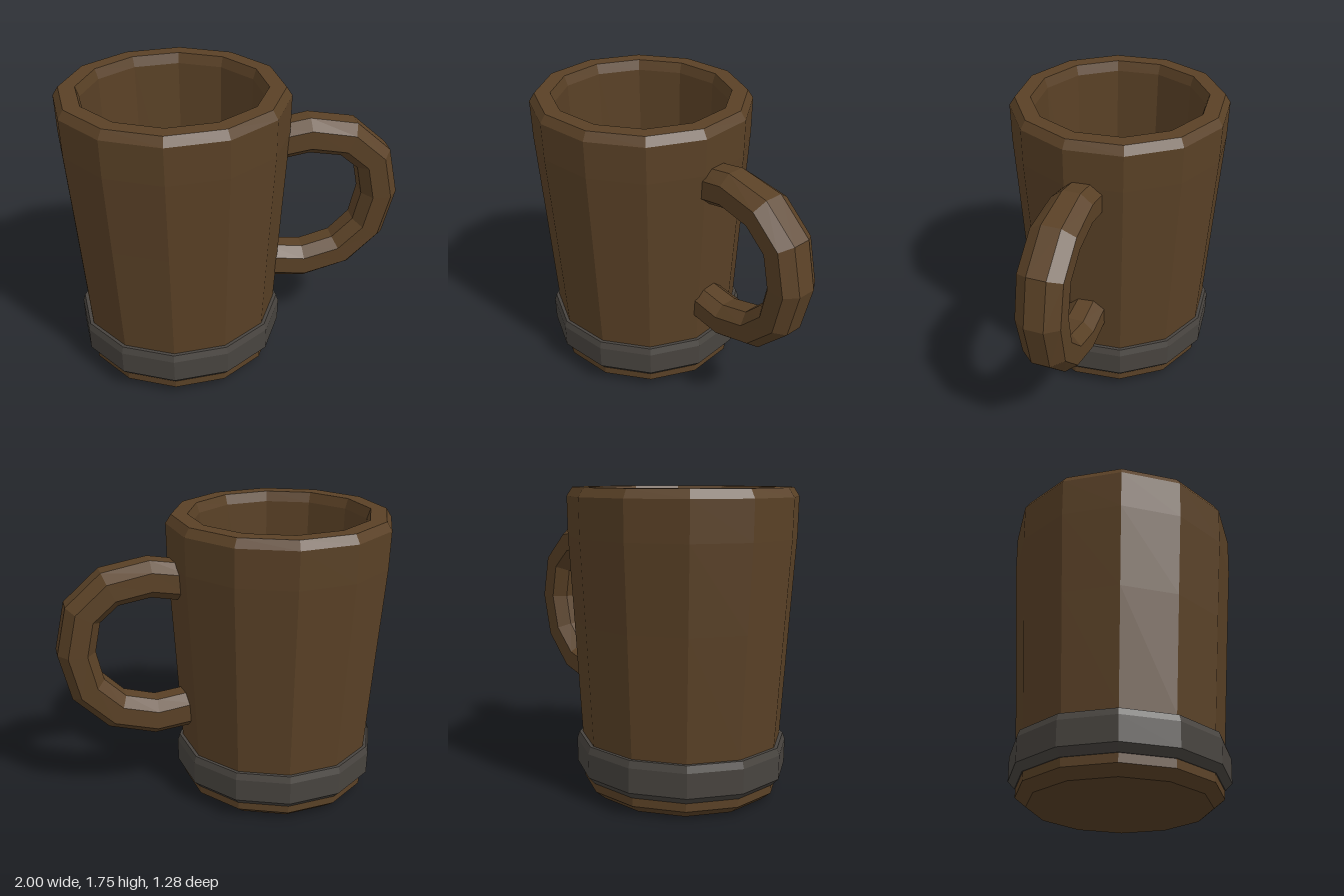
import * as THREE from 'three';

const SIDES = 12;
const CUP_X = -0.34;
const TURN = THREE.MathUtils.degToRad(-8.8);

// Faceted copy of a geometry: one normal per face
function faceted(geometry) {
  const flat = geometry.index ? geometry.toNonIndexed() : geometry;
  flat.computeVertexNormals();
  return flat;
}

// Twelve-sided turned part, slightly narrower front to back
function turned(name, profile, material) {
  const points = profile.map(([r, y]) => new THREE.Vector2(r, y));
  const geometry = new THREE.LatheGeometry(points, SIDES, TURN);
  geometry.scale(1, 1, 0.97);
  geometry.translate(CUP_X, 0, 0);
  const mesh = new THREE.Mesh(faceted(geometry), material);
  mesh.name = name;
  return mesh;
}

// Octagonal bar swept along a path in the xy plane; each stop is [x, y, half width]
function sweptBar(stops) {
  const section = [
    [1, -0.43], [1, 0.43], [0.5, 1], [-0.5, 1],
    [-1, 0.43], [-1, -0.43], [-0.5, -1], [0.5, -1],
  ];
  const n = section.length;
  const positions = [];
  const index = [];
  stops.forEach(([x, y, w], i) => {
    const before = stops[Math.max(i - 1, 0)];
    const after = stops[Math.min(i + 1, stops.length - 1)];
    const t = new THREE.Vector2(after[0] - before[0], after[1] - before[1]).normalize();
    for (const [a, b] of section) {
      positions.push(x - t.y * a * 0.11, y + t.x * a * 0.11, b * w);
    }
    if (i === 0) return;
    for (let j = 0; j < n; j++) {
      const k = (j + 1) % n;
      const p = (i - 1) * n;
      const q = i * n;
      index.push(p + j, p + k, q + k, p + j, q + k, q + j);
    }
  });
  // End caps
  const last = (stops.length - 1) * n;
  for (let j = 1; j < n - 1; j++) {
    index.push(0, j + 1, j, last, last + j, last + j + 1);
  }
  const geometry = new THREE.BufferGeometry();
  geometry.setAttribute('position', new THREE.Float32BufferAttribute(positions, 3));
  geometry.setIndex(index);
  return faceted(geometry);
}

export function createModel() {
  const wood = new THREE.MeshStandardMaterial({ color: 0x5a4126 });
  wood.name = 'dark wood';
  const iron = new THREE.MeshStandardMaterial({ color: 0x48443f });
  iron.name = 'dark iron';

  const mug = new THREE.Group();
  mug.name = 'mug';

  // Hollow cup: base, outer wall, bevelled rim, inner wall, floor
  mug.add(turned('cup', [
    [0, 0], [0.517, 0], [0.58, 0.05], [0.58, 0.1], [0.592, 0.33],
    [0.633, 1.0], [0.664, 1.48], [0.668, 1.7], [0.635, 1.75],
    [0.54, 1.75], [0.52, 1.69], [0.49, 0.3], [0.385, 0.16], [0, 0.16],
  ], wood));

  // Metal hoop around the foot
  mug.add(turned('hoop', [
    [0.56, 0.1], [0.585, 0.1], [0.624, 0.14], [0.626, 0.28],
    [0.612, 0.32], [0.56, 0.32], [0.56, 0.1],
  ], iron));

  // Handle, with both ends sunk into the wall
  const handle = new THREE.Mesh(sweptBar([
    [0.22, 1.38, 0.113], [0.445, 1.42, 0.12], [0.68, 1.38, 0.13],
    [0.84, 1.24, 0.13], [0.889, 1.01, 0.13], [0.835, 0.775, 0.125],
    [0.67, 0.61, 0.12], [0.435, 0.543, 0.115], [0.19, 0.572, 0.11],
  ]), wood);
  handle.name = 'handle';
  mug.add(handle);

  return mug;
}
